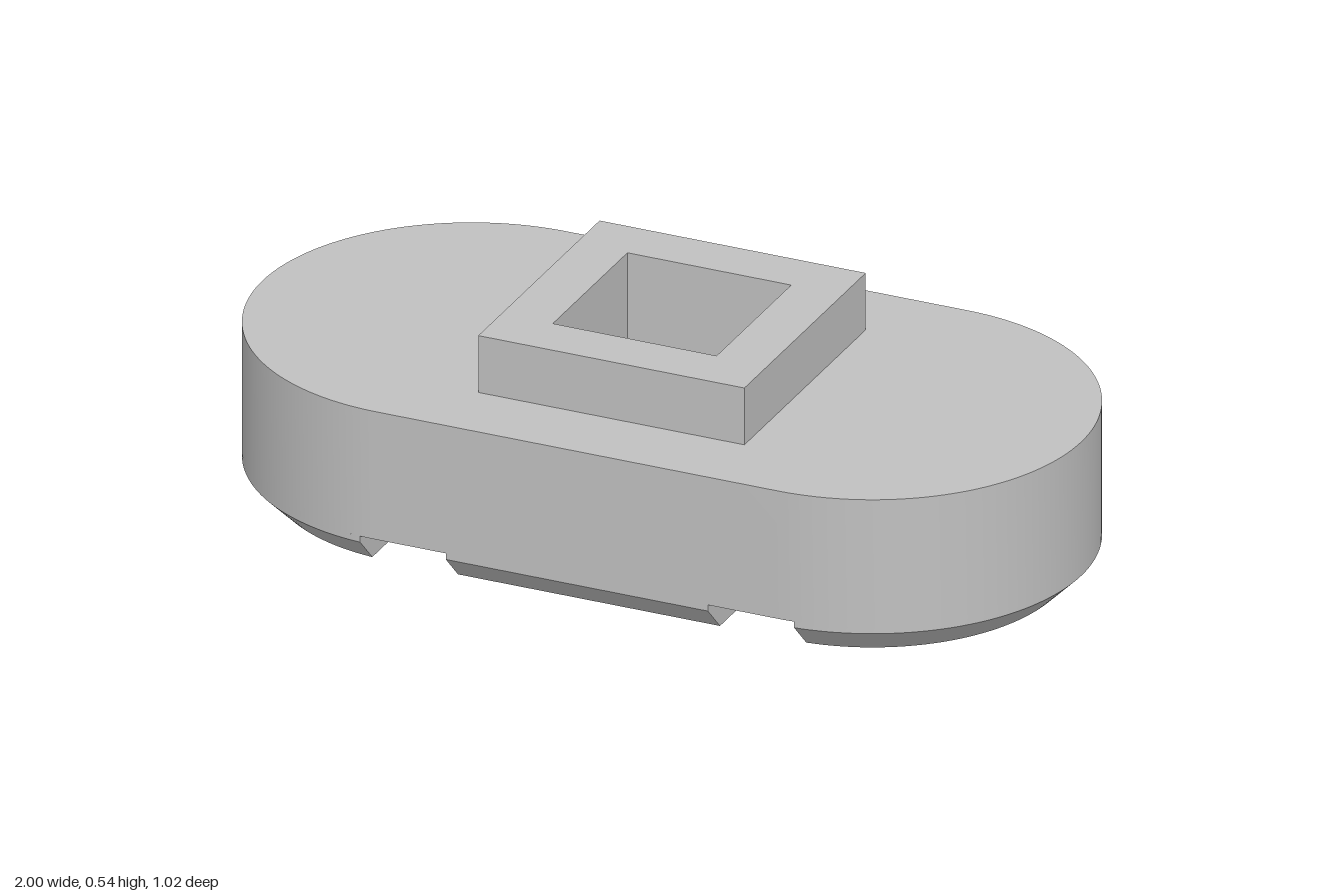
import * as THREE from 'three';
import { toCreasedNormals } from 'three/addons/utils/BufferGeometryUtils.js';

const R = 0.51, CX = 0.49;               // end radius and end centre
const CHAMFER = 0.065, GROOVE_TOP = 0.08, SLAB_TOP = 0.395, BOSS_TOP = 0.535;
const GROOVE_IN = 0.32, GROOVE_OUT = 0.53;
const BOSS = 0.325, HOLE = 0.2, HOLE_FLOOR = 0.13;

function trace(path, h) {
  path.moveTo(-h, -h);
  path.lineTo(h, -h);
  path.lineTo(h, h);
  path.lineTo(-h, h);
  path.closePath();
  return path;
}

// Extrude a plan shape upward from y0 to y1
function extrudeUp(shape, y0, y1) {
  const geo = new THREE.ExtrudeGeometry(shape, { depth: y1 - y0, bevelEnabled: false, curveSegments: 48 });
  geo.rotateX(-Math.PI / 2);
  geo.translate(0, y0, 0);
  return toCreasedNormals(geo, 0.5);
}

// Foot pad lofted through a chamfered edge; outline(r) gives its [x, z] plan
function padGeometry(outline) {
  const levels = [[0, R - CHAMFER], [CHAMFER, R], [GROOVE_TOP, R]];
  const positions = [], index = [];
  const n = outline(R).length;
  for (const [y, r] of levels) {
    for (const [x, z] of outline(r)) positions.push(x, y, z);
  }
  for (let k = 0; k < levels.length - 1; k++) {
    for (let i = 0; i < n; i++) {
      const a = k * n + i, b = k * n + (i + 1) % n;
      index.push(a, a + n, b, b, a + n, b + n);
    }
  }
  for (let i = 1; i < n - 1; i++) index.push(0, i, i + 1);
  const geo = new THREE.BufferGeometry();
  geo.setAttribute('position', new THREE.Float32BufferAttribute(positions, 3));
  geo.setIndex(index);
  return toCreasedNormals(geo, 0.5);
}

function endOutline(r) {
  const a0 = Math.acos((GROOVE_OUT - CX) / r), points = [];
  for (let i = 0; i <= 64; i++) {
    const a = -a0 + (2 * a0 * i) / 64;
    points.push([CX + r * Math.cos(a), r * Math.sin(a)]);
  }
  return points;
}

function middleOutline(r) {
  return [[GROOVE_IN, -r], [GROOVE_IN, r], [-GROOVE_IN, r], [-GROOVE_IN, -r]];
}

export function createModel() {
  const model = new THREE.Group();
  model.name = 'slottedFoot';
  const grey = new THREE.MeshStandardMaterial({ color: 0xc0c0c0 });
  grey.name = 'grey';

  function add(name, geometry) {
    const mesh = new THREE.Mesh(geometry, grey);
    mesh.name = name;
    model.add(mesh);
    return mesh;
  }

  // Round-ended slab with the square socket
  const slab = new THREE.Shape();
  slab.moveTo(-CX, -R);
  slab.lineTo(CX, -R);
  slab.absarc(CX, 0, R, -Math.PI / 2, Math.PI / 2, false);
  slab.lineTo(-CX, R);
  slab.absarc(-CX, 0, R, Math.PI / 2, Math.PI * 1.5, false);
  slab.holes.push(trace(new THREE.Path(), HOLE));
  add('slab', extrudeUp(slab, GROOVE_TOP, SLAB_TOP));

  // Square collar around the socket
  const collar = trace(new THREE.Shape(), BOSS);
  collar.holes.push(trace(new THREE.Path(), HOLE));
  add('collar', extrudeUp(collar, SLAB_TOP, BOSS_TOP));

  // Floor of the socket
  const floor = new THREE.BoxGeometry(2 * HOLE, HOLE_FLOOR - GROOVE_TOP, 2 * HOLE);
  add('socketFloor', floor).position.y = (HOLE_FLOOR + GROOVE_TOP) / 2;

  // Chamfered pads, separated by the two cross grooves
  add('middlePad', padGeometry(middleOutline));
  const endPad = padGeometry(endOutline);
  add('leftPad', endPad);
  add('rightPad', endPad).rotation.y = Math.PI;

  return model;
}
